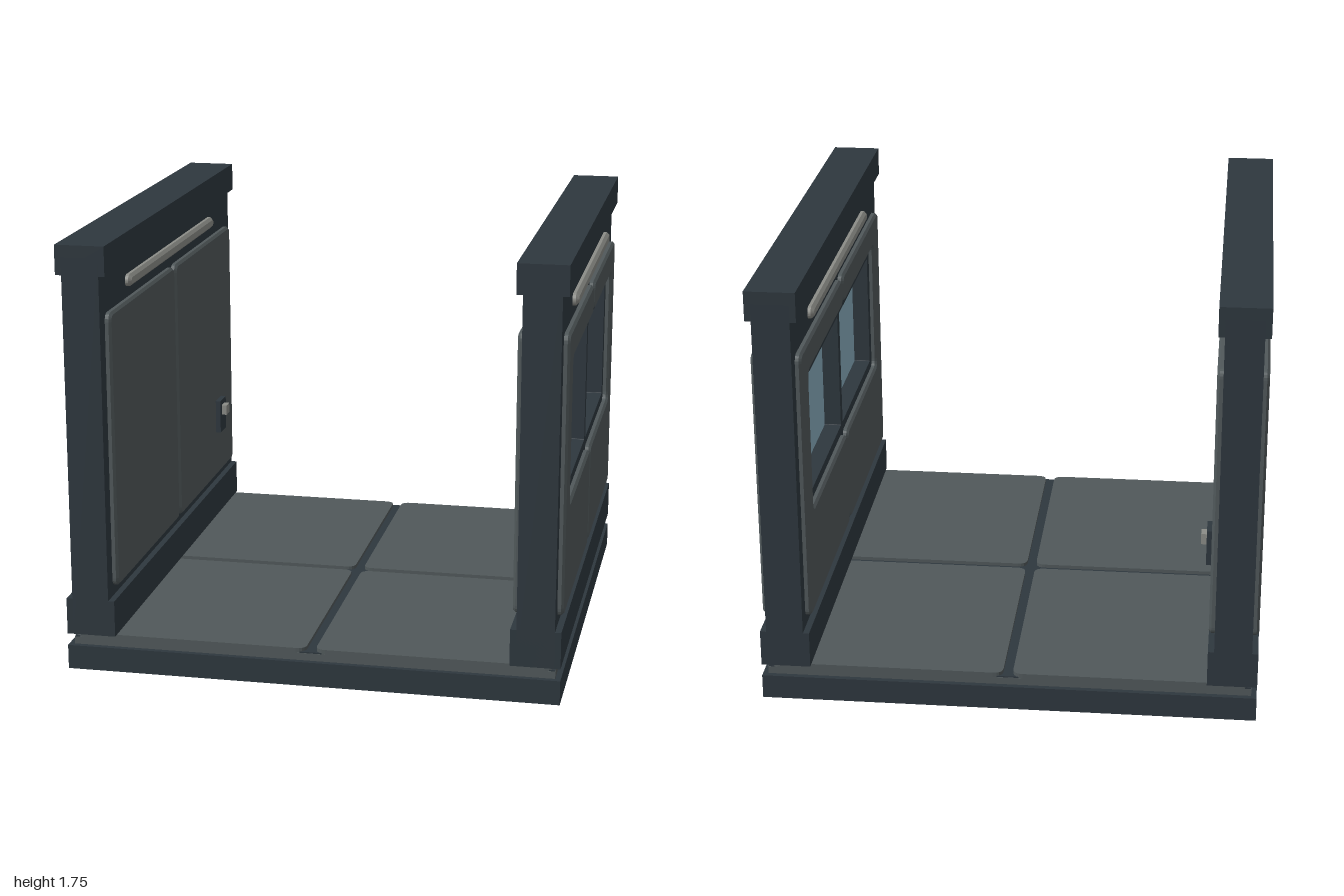
import * as THREE from 'three';

const material = (name, color) => {
  const m = new THREE.MeshStandardMaterial({ color });
  m.name = name;
  return m;
};

export function createModel() {
  const frameMat = material('dark frame', 0x2e373e);
  const panelMat = material('grey panel', 0x50585a);
  const glassMat = material('blue glass', 0x88adbd);
  const railMat = material('light grey', 0x8b8c87);

  const add = (parent, name, geometry, mat, x = 0, y = 0, z = 0) => {
    const mesh = new THREE.Mesh(geometry, mat);
    mesh.name = name;
    mesh.position.set(x, y, z);
    parent.add(mesh);
    return mesh;
  };
  // Box given by its lower and upper corners
  const box = (parent, name, mat, a, b) => add(parent, name,
    new THREE.BoxGeometry(b[0] - a[0], b[1] - a[1], b[2] - a[2]), mat,
    (a[0] + b[0]) / 2, (a[1] + b[1]) / 2, (a[2] + b[2]) / 2);

  // Polygon with every corner rounded by r
  const rounded = (points, r, Type = THREE.Shape) => {
    const s = new Type();
    const v = points.map(p => new THREE.Vector2(...p));
    v.forEach((p, i) => {
      const toward = q => p.clone().add(q.clone().sub(p).setLength(r));
      const a = toward(v[(i + v.length - 1) % v.length]);
      const b = toward(v[(i + 1) % v.length]);
      if (i === 0) s.moveTo(a.x, a.y); else s.lineTo(a.x, a.y);
      s.quadraticCurveTo(p.x, p.y, b.x, b.y);
    });
    s.closePath();
    return s;
  };
  const rect = (x0, y0, x1, y1) => [[x0, y0], [x1, y0], [x1, y1], [x0, y1]];
  const mirrored = (points, s) => points.map(([x, y]) => [x * s, y]);
  // Raised plate with a chamfered front edge, top at z = 0.025
  const raised = (shape, bevel) => new THREE.ExtrudeGeometry(shape, {
    depth: 0.02, bevelEnabled: true, bevelThickness: bevel, bevelSize: bevel,
    bevelOffset: -bevel, bevelSegments: 1, curveSegments: 5,
  }).translate(0, 0, 0.005 - bevel);

  // Wall built facing z, 2 long and 0.2 thick
  const makeWall = (name, hasWindow) => {
    const wall = new THREE.Group();
    wall.name = name;

    // Core with window openings
    const outline = new THREE.Shape(rect(-1, 0.15, 1, 1.7).map(p => new THREE.Vector2(...p)));
    if (hasWindow) {
      for (const s of [-1, 1]) {
        outline.holes.push(rounded(mirrored(rect(0.022, 0.8, 0.75, 1.3), s), 0.004, THREE.Path));
        box(wall, 'windowPane', glassMat,
          [s > 0 ? 0.015 : -0.755, 0.795, -0.004], [s > 0 ? 0.755 : -0.015, 1.305, 0.004]);
      }
    }
    add(wall, 'wallCore', new THREE.ExtrudeGeometry(outline, { depth: 0.15, bevelEnabled: false }),
      frameMat, 0, 0, -0.075);

    // Skirting and top beam
    box(wall, 'skirting', frameMat, [-1, 0.15, -0.1], [1, 0.3, 0.1]);
    box(wall, 'topBeam', frameMat, [-1, 1.63, -0.1], [1, 1.75, 0.1]);

    // Raised panels and rail on both faces
    const panelPoints = hasWindow
      ? [[0.012, 0.34], [0.935, 0.34], [0.935, 1.47], [0.012, 1.47],
        [0.012, 1.35], [0.8, 1.35], [0.8, 0.76], [0.012, 0.76]]
      : rect(0.012, 0.34, 0.935, 1.47);
    const capsule = new THREE.Shape();
    capsule.absarc(0.63, 1.54, 0.025, -Math.PI / 2, Math.PI / 2);
    capsule.absarc(-0.63, 1.54, 0.025, Math.PI / 2, Math.PI * 1.5);
    for (const turn of [0, Math.PI]) {
      const face = new THREE.Group();
      face.name = 'wallFace';
      face.rotation.y = turn;
      wall.add(face);
      for (const s of [-1, 1]) {
        add(face, 'wallPanel', raised(rounded(mirrored(panelPoints, s), 0.035), 0.01),
          panelMat, 0, 0, 0.075);
      }
      add(face, 'lightRail', raised(capsule, 0.012), railMat, 0, 0, 0.075);
    }
    return wall;
  };

  const model = new THREE.Group();
  model.name = 'roomSection';

  // Floor: base, slab, dark joints and four raised tiles
  box(model, 'floorBase', frameMat, [-1, 0, -1], [1, 0.1, 1]);
  box(model, 'floorSlab', panelMat, [-0.978, 0.1, -0.978], [0.978, 0.13, 0.978]);
  box(model, 'floorJoints', frameMat, [-0.976, 0.125, -0.976], [0.976, 0.135, 0.976]);
  for (const sx of [-1, 1]) {
    for (const sz of [-1, 1]) {
      const tile = rounded(rect(0.02, 0.02, 0.978, 0.978).map(([x, z]) => [x * sx, z * sz]), 0.04);
      add(model, 'floorTile', new THREE.ExtrudeGeometry(tile,
        { depth: 0.022, bevelEnabled: false, curveSegments: 5 }).rotateX(-Math.PI / 2),
      panelMat, 0, 0.128, 0);
    }
  }

  // Walls
  for (const side of [-1, 1]) {
    const wall = makeWall(side > 0 ? 'leftWindowWall' : 'rightPlainWall', side > 0);
    wall.rotation.y = Math.PI / 2;
    wall.position.x = side * 0.9;
    model.add(wall);
  }

  // Switch on the inside of the plain wall
  box(model, 'switchPlate', frameMat, [-0.805, 0.55, -0.73], [-0.778, 0.7, -0.63]);
  box(model, 'switchButton', railMat, [-0.78, 0.63, -0.705], [-0.755, 0.675, -0.655]);

  return model;
}
